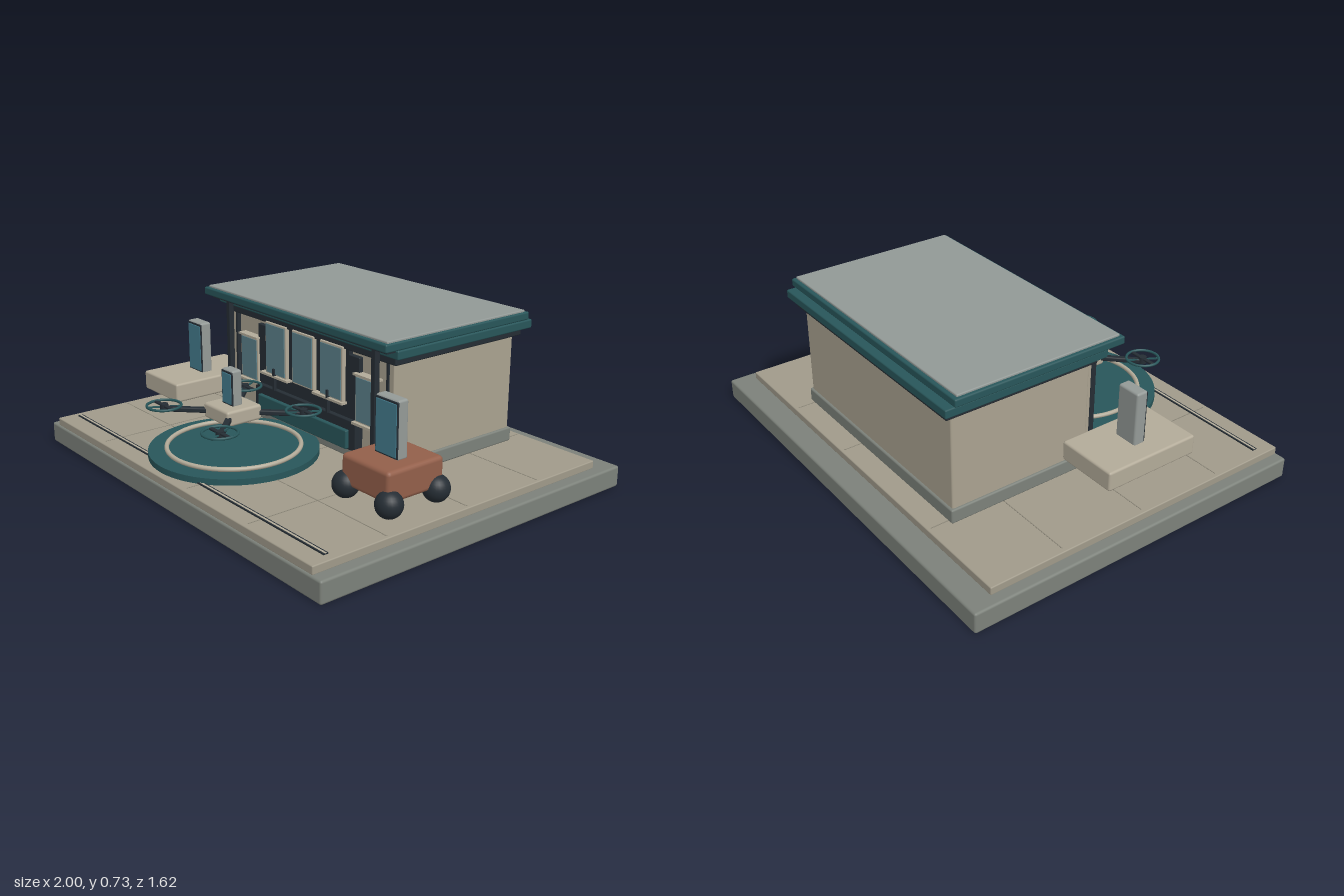
import * as THREE from 'three';
import { RoundedBoxGeometry } from 'three/addons/geometries/RoundedBoxGeometry.js';

const mat = (color) => new THREE.MeshStandardMaterial({ color });

export function createModel() {
  const root = new THREE.Group();
  root.name = 'serviceStation';
  const M = {
    stone: mat(0x7c817a), paving: mat(0xa09a8a), seam: mat(0x8a8577), wall: mat(0xaaa290),
    cream: mat(0xb3ab99), teal: mat(0x28565a), dark: mat(0x252d34), roof: mat(0x929996),
    glass: mat(0x5c808a), screen: mat(0x447c8e), shell: mat(0x949a97), copper: mat(0x935f4a),
  };

  const add = (parent, name, geometry, material, x = 0, y = 0, z = 0) => {
    const mesh = new THREE.Mesh(geometry, material);
    mesh.name = name;
    mesh.position.set(x, y, z);
    parent.add(mesh);
    return mesh;
  };
  // Box given by its extents on each axis, with softened edges when r > 0
  const box = (parent, name, material, [x0, x1], [y0, y1], [z0, z1], r = 0) => {
    const size = [x1 - x0, y1 - y0, z1 - z0];
    const geometry = r ? new RoundedBoxGeometry(...size, 2, r) : new THREE.BoxGeometry(...size);
    return add(parent, name, geometry, material, (x0 + x1) / 2, (y0 + y1) / 2, (z0 + z1) / 2);
  };
  const group = (name) => {
    const g = new THREE.Group();
    g.name = name;
    root.add(g);
    return g;
  };

  // Ground: slab, paving, seams and the double guide line
  const ground = group('ground');
  box(ground, 'slab', M.stone, [-1, 1], [0, 0.093], [-0.81, 0.81], 0.01);
  box(ground, 'paving', M.paving, [-0.95, 0.945], [0.09, 0.126], [-0.705, 0.802], 0.005);
  for (const x of [-0.54, 0.12, 0.535]) box(ground, 'seam', M.seam, [x - 0.002, x + 0.002], [0.12, 0.127], [-0.69, 0.78]);
  for (const z of [-0.36, 0.04, 0.45]) box(ground, 'seam', M.seam, [-0.93, 0.93], [0.12, 0.127], [z - 0.002, z + 0.002]);
  box(ground, 'guideLine', M.dark, [-0.91, 0.905], [0.12, 0.131], [0.7, 0.721]);
  box(ground, 'guideLineInlay', M.cream, [-0.91, 0.905], [0.125, 0.132], [0.706, 0.715]);

  // Pavilion walls and stepped roof
  const pavilion = group('pavilion');
  box(pavilion, 'plinth', M.stone, [-0.57, 0.565], [0.126, 0.19], [-0.61, 0.07], 0.008);
  box(pavilion, 'walls', M.wall, [-0.56, 0.555], [0.13, 0.62], [-0.6, 0.065], 0.008);
  box(pavilion, 'roofShadowBand', M.dark, [-0.575, 0.575], [0.605, 0.645], [-0.63, 0.095], 0.006);
  box(pavilion, 'lowerFascia', M.teal, [-0.61, 0.61], [0.64, 0.678], [-0.655, 0.115], 0.006);
  box(pavilion, 'roofGap', M.dark, [-0.595, 0.595], [0.67, 0.69], [-0.61, 0.16]);
  box(pavilion, 'upperFascia', M.teal, [-0.625, 0.62], [0.683, 0.718], [-0.622, 0.187], 0.007);
  box(pavilion, 'roofDeck', M.roof, [-0.61, 0.61], [0.71, 0.727], [-0.605, 0.172], 0.005);

  // Front posts and wall pilasters, mirrored
  for (const s of [-1, 1]) {
    const cx = s * 0.5 - 0.003;
    box(pavilion, 'post', M.dark, [cx - 0.013, cx + 0.013], [0.126, 0.69], [0.117, 0.143], 0.004);
    box(pavilion, 'pilaster', M.wall, [s * 0.54 - 0.014, s * 0.54 + 0.014], [0.15, 0.605], [0.05, 0.082], 0.004);
    box(pavilion, 'pilasterEdge', M.dark, [s * 0.518 - 0.006, s * 0.518 + 0.006], [0.15, 0.605], [0.05, 0.085]);
  }

  // Glazed panel in a light frame
  const framed = (name, x, y0, y1, w, z) => {
    box(pavilion, name + 'Frame', M.cream, [x - w / 2, x + w / 2], [y0, y1], [z, z + 0.02], 0.004);
    box(pavilion, name + 'Glass', M.glass, [x - w / 2 + 0.009, x + w / 2 - 0.009], [y0 + 0.009, y1 - 0.009], [z + 0.01, z + 0.024]);
  };
  box(pavilion, 'entranceBack', M.dark, [-0.35, 0.35], [0.18, 0.585], [0.05, 0.085], 0.004);
  box(pavilion, 'entranceHeader', M.dark, [-0.285, 0.285], [0.55, 0.625], [0.05, 0.085]);
  for (const x of [-0.195, -0.003, 0.19]) framed('window', x, 0.375, 0.615, 0.15, 0.083);
  for (const x of [-0.405, 0.4]) {
    framed('sideWindow', x, 0.31, 0.515, 0.13, 0.075);
    box(pavilion, 'sideWindowSill', M.cream, [x - 0.07, x + 0.07], [0.302, 0.313], [0.065, 0.11]);
    box(pavilion, 'sideWindowHead', M.cream, [x - 0.07, x + 0.07], [0.513, 0.522], [0.065, 0.105]);
  }

  // Service counter with two small pedestal trays
  box(pavilion, 'counterBody', M.dark, [-0.35, 0.35], [0.18, 0.31], [0.07, 0.105], 0.004);
  box(pavilion, 'counterFront', M.teal, [-0.31, 0.31], [0.185, 0.268], [0.09, 0.122], 0.006);
  for (const x of [-0.2, 0.175]) {
    box(pavilion, 'tray', M.cream, [x - 0.1, x + 0.1], [0.368, 0.378], [0.085, 0.115]);
    box(pavilion, 'trayStem', M.dark, [x - 0.006, x + 0.006], [0.31, 0.41], [0.1, 0.115]);
  }

  // Display tower: grey shell, dark bezel, blue screen facing forward
  const display = (parent, [x0, x1], [y0, y1], [z0, z1]) => {
    box(parent, 'displayShell', M.shell, [x0, x1], [y0, y1], [z0, z1], 0.01);
    box(parent, 'displayBezel', M.dark, [x0 + 0.002, x1 - 0.002], [y0 + 0.006, y1 - 0.006], [z1 - 0.008, z1 + 0.002], 0.004);
    box(parent, 'displayScreen', M.screen, [x0 + 0.006, x1 - 0.006], [y0 + 0.011, y1 - 0.014], [z1 - 0.006, z1 + 0.004], 0.004);
  };

  // Raised block with a display
  const block = group('displayBlock');
  box(block, 'block', M.cream, [-0.855, -0.57], [0.21, 0.298], [-0.068, 0.39], 0.01);
  display(block, [-0.767, -0.655], [0.29, 0.535], [0.138, 0.193]);

  // Four-wheeled cart with a display
  const cart = group('cart');
  box(cart, 'cartBody', M.copper, [0.57, 0.84], [0.185, 0.315], [0.078, 0.365], 0.018);
  for (const x of [0.58, 0.828])
    for (const z of [0.105, 0.348]) add(cart, 'wheel', new THREE.SphereGeometry(0.056, 24, 16), M.dark, x, 0.184, z);
  display(cart, [0.64, 0.77], [0.31, 0.55], [0.203, 0.256]);

  // Round landing pad
  const [px, pz] = [-0.085, 0.41];
  const pad = group('landingPad');
  add(pad, 'padDisc', new THREE.CylinderGeometry(0.365, 0.365, 0.03, 64), M.teal, px, 0.138, pz);
  const ring = add(pad, 'padRing', new THREE.TorusGeometry(0.286, 0.01, 10, 72), M.cream, px, 0.162, pz);
  ring.rotation.x = Math.PI / 2;

  // Hovering four-rotor carrier with a display
  const drone = group('drone');
  box(drone, 'droneBody', M.cream, [px - 0.09, px + 0.09], [0.28, 0.347], [pz - 0.085, pz + 0.09], 0.012);
  display(drone, [px - 0.04, px + 0.04], [0.34, 0.5], [0.388, 0.438]);
  for (const sx of [-1, 1]) {
    for (const sz of [-1, 1]) {
      const [dx, dz] = [sx * 0.212, sz * 0.21];
      const arm = add(drone, 'arm', new RoundedBoxGeometry(0.27, 0.022, 0.026, 2, 0.006), M.dark, px + dx * 0.56, 0.311, pz + dz * 0.56);
      arm.rotation.y = -Math.atan2(dz, dx);
      const guard = add(drone, 'rotorGuard', new THREE.TorusGeometry(0.073, 0.006, 8, 32), M.teal, px + dx, 0.325, pz + dz);
      guard.rotation.x = Math.PI / 2;
      add(drone, 'rotorHub', new THREE.CylinderGeometry(0.018, 0.018, 0.03, 16), M.dark, px + dx, 0.318, pz + dz);
      add(drone, 'rotorBlade', new RoundedBoxGeometry(0.135, 0.01, 0.018, 2, 0.004), M.dark, px + dx, 0.324, pz + dz);
      const brace = add(drone, 'guardBrace', new THREE.BoxGeometry(0.008, 0.006, 0.146), M.teal, px + dx, 0.319, pz + dz);
      brace.rotation.y = sx * sz * 0.5;
    }
  }
  return root;
}
